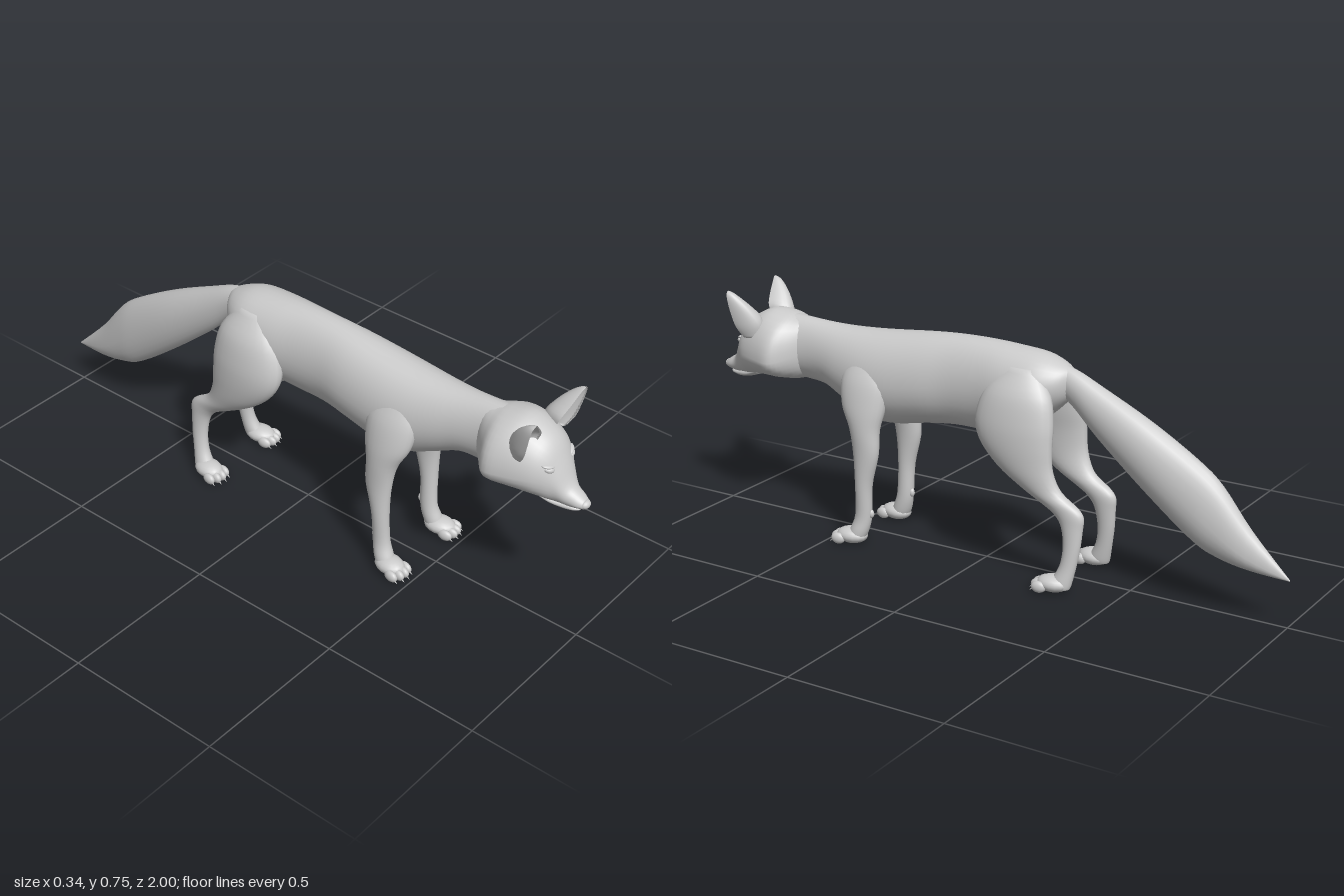
import * as THREE from 'three';

const material = new THREE.MeshStandardMaterial({ color: 0xcccccc });

// Catmull-Rom resampling of rows of section parameters
function resample(rows, steps) {
  const out = [];
  const last = rows.length - 1;
  for (let i = 0; i < last; i++) {
    const [a, b, c, d] = [rows[Math.max(i - 1, 0)], rows[i], rows[i + 1], rows[Math.min(i + 2, last)]];
    for (let s = 0; s < steps; s++) {
      const t = s / steps;
      out.push(b.map((v, k) => 0.5 * (2 * v + (c[k] - a[k]) * t
        + (2 * a[k] - 5 * v + 4 * c[k] - d[k]) * t * t
        + (3 * v - a[k] - 3 * c[k] + d[k]) * t * t * t)));
    }
  }
  out.push(rows[last]);
  return out;
}

// Closed skin through cross-sections; section(row, angle) returns [x, y, z]
function loft(name, rows, section, { sides = 24, steps = 4 } = {}) {
  const rings = resample(rows, steps).map((row) =>
    Array.from({ length: sides }, (_, j) => new THREE.Vector3(...section(row, (j / sides) * Math.PI * 2))));
  const points = rings.flat();
  const index = [];
  for (let i = 0; i < rings.length - 1; i++) {
    for (let j = 0; j < sides; j++) {
      const a = i * sides + j;
      const b = i * sides + (j + 1) % sides;
      index.push(a, b, a + sides, b, b + sides, a + sides);
    }
  }
  [0, rings.length - 1].forEach((r) => {
    const centre = rings[r].reduce((s, p) => s.add(p), new THREE.Vector3()).divideScalar(sides);
    points.push(centre);
    for (let j = 0; j < sides; j++) {
      const a = r * sides + j;
      const b = r * sides + (j + 1) % sides;
      index.push(...(r ? [a, b, points.length - 1] : [b, a, points.length - 1]));
    }
  });
  // turn the skin outward if its signed volume is negative
  let volume = 0;
  const cross = new THREE.Vector3();
  for (let i = 0; i < index.length; i += 3) {
    volume += points[index[i]].dot(cross.crossVectors(points[index[i + 1]], points[index[i + 2]]));
  }
  if (volume < 0) index.reverse();
  const geometry = new THREE.BufferGeometry().setFromPoints(points);
  geometry.setIndex(index);
  geometry.computeVertexNormals();
  const mesh = new THREE.Mesh(geometry, material);
  mesh.name = name;
  return mesh;
}

// Upright section: [z, top, widest height, bottom, half width]
const upright = ([z, top, mid, bottom, w], a) => {
  const s = Math.sin(a);
  return [w * Math.cos(a), mid + s * (s > 0 ? top - mid : mid - bottom), z];
};

// Level section: [y, x, front z, back z, half width]
const level = ([y, x, front, back, w], a) =>
  [x + w * Math.cos(a), y, (front + back) / 2 + Math.sin(a) * (front - back) / 2];

// Crescent section of a cupped ear: [y, outer x, inner x, edge z, depth, tilt]
const crescent = ([y, outer, inner, z, depth, tilt], a) => {
  const c = Math.cos(a);
  const s = Math.sin(a);
  return [(outer + inner) / 2 + c * (outer - inner) / 2, y - c * tilt,
    z - depth * (s > 0 ? s : -s * 0.45)];
};

function ellipsoid(name, position, size) {
  const mesh = new THREE.Mesh(new THREE.SphereGeometry(1, 16, 12), material);
  mesh.name = name;
  mesh.position.set(...position);
  mesh.scale.set(...size);
  return mesh;
}

// Paw with four toes and claws; the toes point to +z
function makePaw(x, z) {
  const paw = new THREE.Group();
  paw.name = 'paw';
  paw.position.set(x, 0, z);
  paw.rotation.y = 0.12;
  paw.add(ellipsoid('pad', [0, 0.027, -0.005], [0.038, 0.026, 0.052]));
  [-1.5, -0.5, 0.5, 1.5].forEach((k) => {
    const reach = 0.043 - Math.abs(k) * 0.009;
    paw.add(ellipsoid('toe', [k * 0.02, 0.019, reach], [0.0125, 0.018, 0.024]));
    const claw = new THREE.Mesh(new THREE.ConeGeometry(0.004, 0.018, 6), material);
    claw.name = 'claw';
    claw.position.set(k * 0.021, 0.01, reach + 0.022);
    claw.rotation.x = 2.1;
    paw.add(claw);
  });
  return paw;
}

// Everything that exists on both sides, built for the left side
function makeSide() {
  const side = new THREE.Group();

  side.add(loft('frontLeg', [
    [0.60, 0.060, 0.450, 0.330, 0.025],
    [0.53, 0.082, 0.470, 0.300, 0.042],
    [0.45, 0.100, 0.460, 0.305, 0.043],
    [0.38, 0.112, 0.425, 0.320, 0.036],
    [0.30, 0.117, 0.410, 0.322, 0.029],
    [0.20, 0.118, 0.404, 0.347, 0.026],
    [0.10, 0.115, 0.408, 0.352, 0.024],
    [0.05, 0.119, 0.425, 0.362, 0.028],
    [0.02, 0.122, 0.435, 0.375, 0.028]], level));
  side.add(ellipsoid('dewclaw', [0.112, 0.105, 0.354], [0.009, 0.014, 0.01]));
  side.add(makePaw(0.124, 0.425));

  side.add(loft('hindLeg', [
    [0.65, 0.058, -0.11, -0.21, 0.025],
    [0.58, 0.080, -0.05, -0.265, 0.050],
    [0.50, 0.095, -0.025, -0.283, 0.054],
    [0.43, 0.104, -0.04, -0.285, 0.048],
    [0.36, 0.105, -0.10, -0.290, 0.040],
    [0.30, 0.100, -0.185, -0.318, 0.032],
    [0.26, 0.098, -0.255, -0.375, 0.026],
    [0.235, 0.098, -0.295, -0.392, 0.024],
    [0.20, 0.100, -0.320, -0.390, 0.022],
    [0.14, 0.105, -0.330, -0.385, 0.021],
    [0.08, 0.111, -0.322, -0.375, 0.022],
    [0.03, 0.118, -0.295, -0.365, 0.027],
    [0.015, 0.12, -0.295, -0.36, 0.024]], level));
  side.add(makePaw(0.124, -0.303));

  side.add(loft('ear', [
    [0.610, 0.108, 0.050, 0.835, 0.050, 0.010],
    [0.650, 0.122, 0.046, 0.855, 0.070, 0.016],
    [0.690, 0.130, 0.070, 0.868, 0.058, 0.010],
    [0.722, 0.133, 0.094, 0.876, 0.036, 0.005],
    [0.740, 0.130, 0.108, 0.881, 0.018, 0.002],
    [0.747, 0.121, 0.116, 0.884, 0.004, 0.000]], crescent));

  // eye with lids
  const eye = ellipsoid('eye', [0.051, 0.571, 0.893], [0.017, 0.010, 0.013]);
  eye.rotation.set(0, 0.5, 0.25);
  const lid = ellipsoid('eyelid', [0.052, 0.581, 0.889], [0.021, 0.006, 0.013]);
  lid.rotation.set(0, 0.5, 0.25);
  side.add(eye, lid);
  return side;
}

export function createModel() {
  const model = new THREE.Group();
  model.name = 'fox';

  model.add(loft('body', [
    [-0.295, 0.645, 0.610, 0.570, 0.025],
    [-0.265, 0.662, 0.600, 0.535, 0.065],
    [-0.20, 0.685, 0.580, 0.480, 0.100],
    [-0.10, 0.695, 0.560, 0.430, 0.105],
    [0.00, 0.699, 0.555, 0.416, 0.094],
    [0.10, 0.697, 0.550, 0.414, 0.092],
    [0.20, 0.689, 0.535, 0.402, 0.104],
    [0.32, 0.676, 0.520, 0.380, 0.112],
    [0.41, 0.668, 0.520, 0.385, 0.108],
    [0.50, 0.664, 0.540, 0.425, 0.090],
    [0.58, 0.665, 0.560, 0.462, 0.072],
    [0.66, 0.670, 0.565, 0.470, 0.064],
    [0.76, 0.675, 0.570, 0.480, 0.070]], upright, { sides: 32 }));

  model.add(loft('tail', [
    [-0.21, 0.672, 0.64, 0.600, 0.025],
    [-0.30, 0.650, 0.600, 0.538, 0.034],
    [-0.39, 0.610, 0.535, 0.452, 0.045],
    [-0.55, 0.533, 0.430, 0.317, 0.058],
    [-0.70, 0.447, 0.320, 0.203, 0.056],
    [-0.78, 0.385, 0.260, 0.168, 0.048],
    [-0.875, 0.270, 0.195, 0.150, 0.032],
    [-1.00, 0.146, 0.144, 0.142, 0.002]], upright));

  model.add(loft('head', [
    [0.65, 0.664, 0.560, 0.478, 0.052],
    [0.69, 0.668, 0.545, 0.466, 0.095],
    [0.73, 0.677, 0.535, 0.467, 0.132],
    [0.79, 0.682, 0.538, 0.465, 0.123],
    [0.85, 0.656, 0.540, 0.458, 0.102],
    [0.885, 0.625, 0.535, 0.450, 0.079],
    [0.912, 0.575, 0.515, 0.447, 0.054],
    [0.94, 0.516, 0.482, 0.447, 0.036],
    [0.97, 0.494, 0.471, 0.452, 0.027],
    [0.988, 0.482, 0.468, 0.456, 0.018]], upright, { sides: 32 }));

  model.add(loft('lowerJaw', [
    [0.84, 0.490, 0.475, 0.458, 0.050],
    [0.89, 0.470, 0.455, 0.441, 0.040],
    [0.93, 0.462, 0.447, 0.435, 0.027],
    [0.96, 0.456, 0.447, 0.439, 0.019],
    [0.974, 0.450, 0.447, 0.444, 0.008]], upright));

  model.add(ellipsoid('nose', [0, 0.469, 0.986], [0.018, 0.013, 0.014]));

  const left = makeSide();
  left.name = 'leftSide';
  const right = makeSide();
  right.name = 'rightSide';
  right.scale.x = -1;
  model.add(left, right);
  return model;
}
